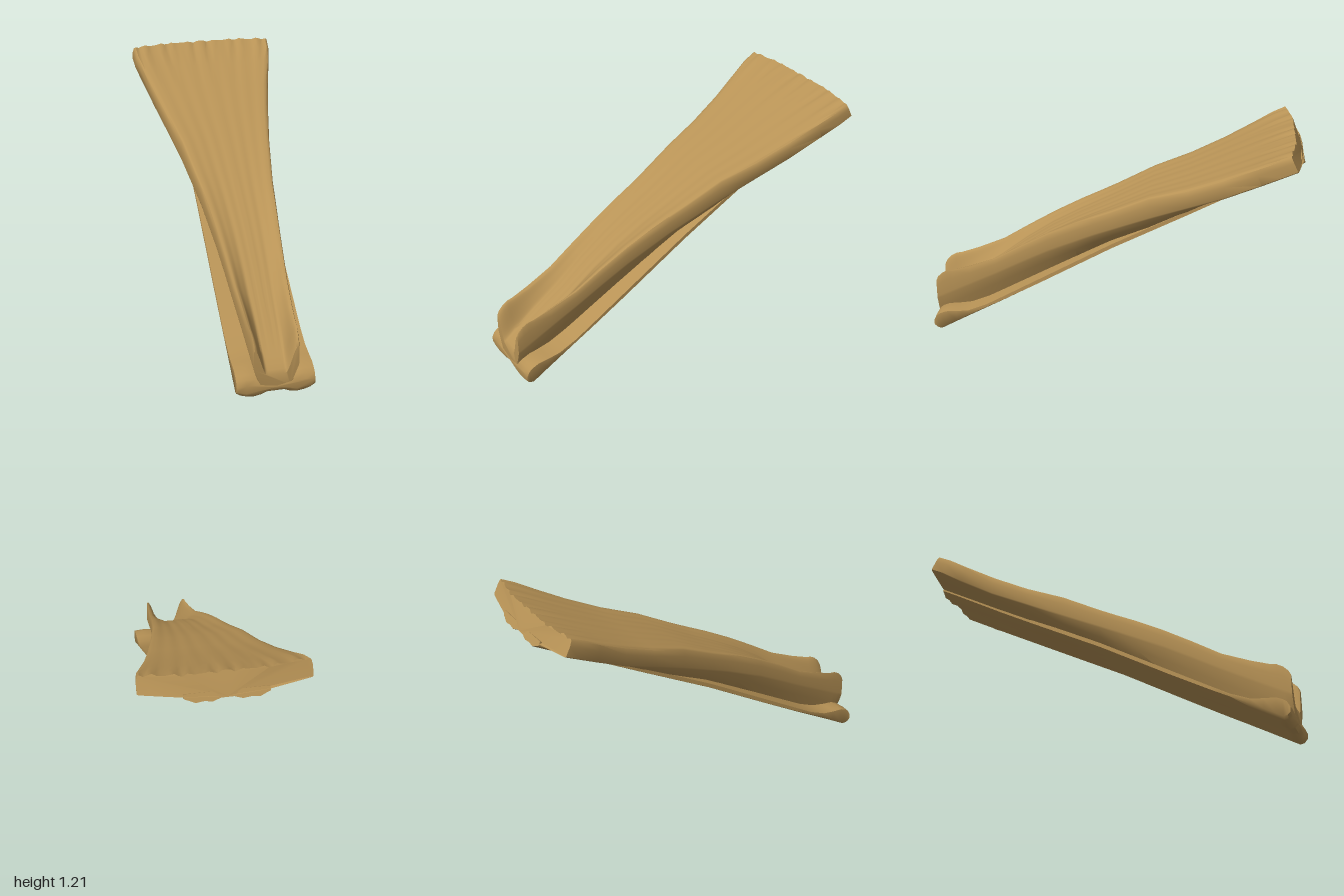
import * as THREE from 'three';
import { toCreasedNormals } from 'three/addons/utils/BufferGeometryUtils.js';

const smoothstep = THREE.MathUtils.smoothstep;

// linear lookup in [z, value] pairs listed from front (+z) to back
function lookup(table, z) {
  for (let i = 0; i < table.length - 1; i++) {
    const [z0, v0] = table[i], [z1, v1] = table[i + 1];
    if (z >= z1 || i === table.length - 2) return v0 + (v1 - v0) * (z - z0) / (z1 - z0);
  }
}

// right half of a ring (bottom centre to top centre) mirrored into a closed one
const mirrorRing = (half) => [...half, ...half.slice(1, -1).reverse().map(([x, y, z]) => [-x, y, z])];

// skin closed rings that run front to back, with end caps
function loft(rings, creaseAngle) {
  const n = rings[0].length, index = [];
  for (let i = 0; i < rings.length - 1; i++) {
    for (let j = 0; j < n; j++) {
      const a = i * n + j, b = i * n + (j + 1) % n;
      index.push(a, a + n, b, b, a + n, b + n);
    }
  }
  const cap = (k) => THREE.ShapeUtils.triangulateShape(rings[k].map(([x, y]) => new THREE.Vector2(x, y)), []);
  const last = rings.length - 1;
  cap(0).forEach(([a, b, c]) => index.push(a, b, c));
  cap(last).forEach(([a, b, c]) => index.push(last * n + a, last * n + c, last * n + b));
  const g = new THREE.BufferGeometry();
  g.setAttribute('position', new THREE.Float32BufferAttribute(rings.flat(2), 3));
  g.setIndex(index);
  return toCreasedNormals(g, creaseAngle);
}

// end faces lean square to the slope at the back only
const lean = (z) => 0.5 * THREE.MathUtils.clamp((-z - 0.5) / 0.4, 0, 1);

// shared underside line
const base = [[1, 0.035], [0.985, 0.008], [0.97, 0], [0.6, 0.21], [0.2, 0.44], [0, 0.555], [-0.2, 0.66], [-0.6, 0.87], [-1, 1.085]];

// thin lower strip, lobed underneath, swelling into a rounded lip at the front
function lowerStrip() {
  const under = [[0, 0.036], [0.03, 0.026], [0.07, 0.008], [0.11, 0], [0.15, 0.006], [0.18, 0.016], [0.2, 0.03]];
  const thickness = [[1, 0.045], [0.985, 0.1], [0.965, 0.12], [0.93, 0.115], [0.87, 0.085], [0.8, 0.055], [0.7, 0.04], [-1, 0.04]];
  const zs = [1, 0.985, 0.965, 0.93, 0.87, 0.8, 0.7, 0.6, 0.4, 0.2, 0, -0.2, -0.4, -0.6, -0.75, -0.9, -0.96, -0.995];
  const rings = zs.map((z) => {
    const y0 = lookup(base, z), k = lean(z), t = lookup(thickness, z);
    const lip = smoothstep(z, 0.8, 0.96);
    const groove = 0.3 + 0.7 * smoothstep(z, 0.4, 0.95);
    const side = 0.55 + 0.45 * smoothstep(z, 0.4, 0.95);
    const ripple = 0.004 * smoothstep(-z, 0.3, 0.9);
    const bottom = under.map(([x, o]) => [x, o * (x < 0.11 ? groove : side) * (z > 0.99 ? 0.6 : 1) + ripple * Math.sin(x * 75)]);
    const top = [[0.2, t], [0.15, t + 0.004 * lip], [0.1, t], [0.05, t - 0.012 * lip], [0, t - 0.022 * lip]];
    return mirrorRing([...bottom, ...top].map(([x, o]) => [x, y0 + o, z + k * o]));
  });
  return loft(rings, 1.1);
}

// flaring upper piece: troughed tongue in front, broad flat fan at the back
function upperFan() {
  const width = [[1, 0.115], [0.8, 0.13], [0.6, 0.147], [0.4, 0.165], [0.1, 0.2], [-0.2, 0.25], [-0.6, 0.335], [-0.95, 0.41]];
  const edge = [[1, 0.18], [0.8, 0.285], [0.6, 0.39], [0.4, 0.505], [0.1, 0.645], [-0.2, 0.775], [-0.6, 0.945], [-0.98, 1.125]];
  const rim = [[1, 0.28], [0.98, 0.32], [0.94, 0.35], [0.86, 0.362], [0.8, 0.39], [0.65, 0.45], [0.4, 0.6], [0.2, 0.7],
    [0, 0.79], [-0.2, 0.888], [-0.4, 0.96], [-0.6, 1.05], [-0.9, 1.19], [-0.98, 1.225]];
  const trough = [[1, 0.15], [0.97, 0.165], [0.9, 0.145], [0.8, 0.1], [0.6, 0.05], [0.4, 0.028], [0, 0.01], [-0.5, 0], [-1, 0]];
  const zs = [0.997, 0.985, 0.96, 0.93, 0.9, 0.8, 0.65, 0.5, 0.35, 0.2, 0.1, 0, -0.2, -0.4, -0.6, -0.8, -0.92, -0.99];
  const columns = 20;
  const rings = zs.map((z) => {
    const w = lookup(width, Math.max(z, -0.95)), y0 = lookup(base, z) + 0.02, k = lean(z);
    const scale = 1 / (1 + 0.5 * k);
    const h = (lookup(rim, z) - y0) * scale, e = (lookup(edge, z) - y0) * scale, d = lookup(trough, z);
    // undercut sloping out to the widest edge, then the outer wall
    const foot = Math.min(0.19, (0.62 + 0.2 * smoothstep(-z, 0, 0.4)) * w);
    const half = [[0, 0], [foot * 0.6, 0], [foot, 0.01], [foot + (w - foot) * 0.55, 0.01 + (e - 0.01) * 0.5],
      [w * 0.985, e * 0.93], [w, e + (h - e) * 0.03], [w, e + (h - e) * 0.6], [w * 0.985, e + (h - e) * 0.92]];
    // upper surface from rim to centre, with faint lengthwise ridges
    const ragged = smoothstep(-z, 0.8, 0.99);
    for (let c = 0; c <= columns; c++) {
      const u = 0.96 * (1 - c / columns);
      const dip = d * (1 - smoothstep(u, 0.4, 0.96));
      const ridge = 0.0012 * Math.sin(u * 23 + 1) + ragged * (0.004 * Math.sin(u * 31 + 1.5) + 0.003 * Math.sin(u * 47));
      half.push([u * w, h - dip + (z < 0.85 ? ridge : 0)]);
    }
    const bow = smoothstep(-z, 0.6, 0.95) * 0.16;
    return mirrorRing(half.map(([x, o]) => [x, y0 + o, z + k * o + bow * Math.max(0, x - 0.2)]));
  });
  return loft(rings, 0.8);
}

export function createModel() {
  const tan = new THREE.MeshStandardMaterial({ color: 0xb89356 });
  tan.name = 'tan';
  const group = new THREE.Group();
  group.name = 'flaredStrip';
  for (const [name, geometry] of [['lowerStrip', lowerStrip()], ['upperFan', upperFan()]]) {
    const mesh = new THREE.Mesh(geometry, tan);
    mesh.name = name;
    group.add(mesh);
  }
  return group;
}
